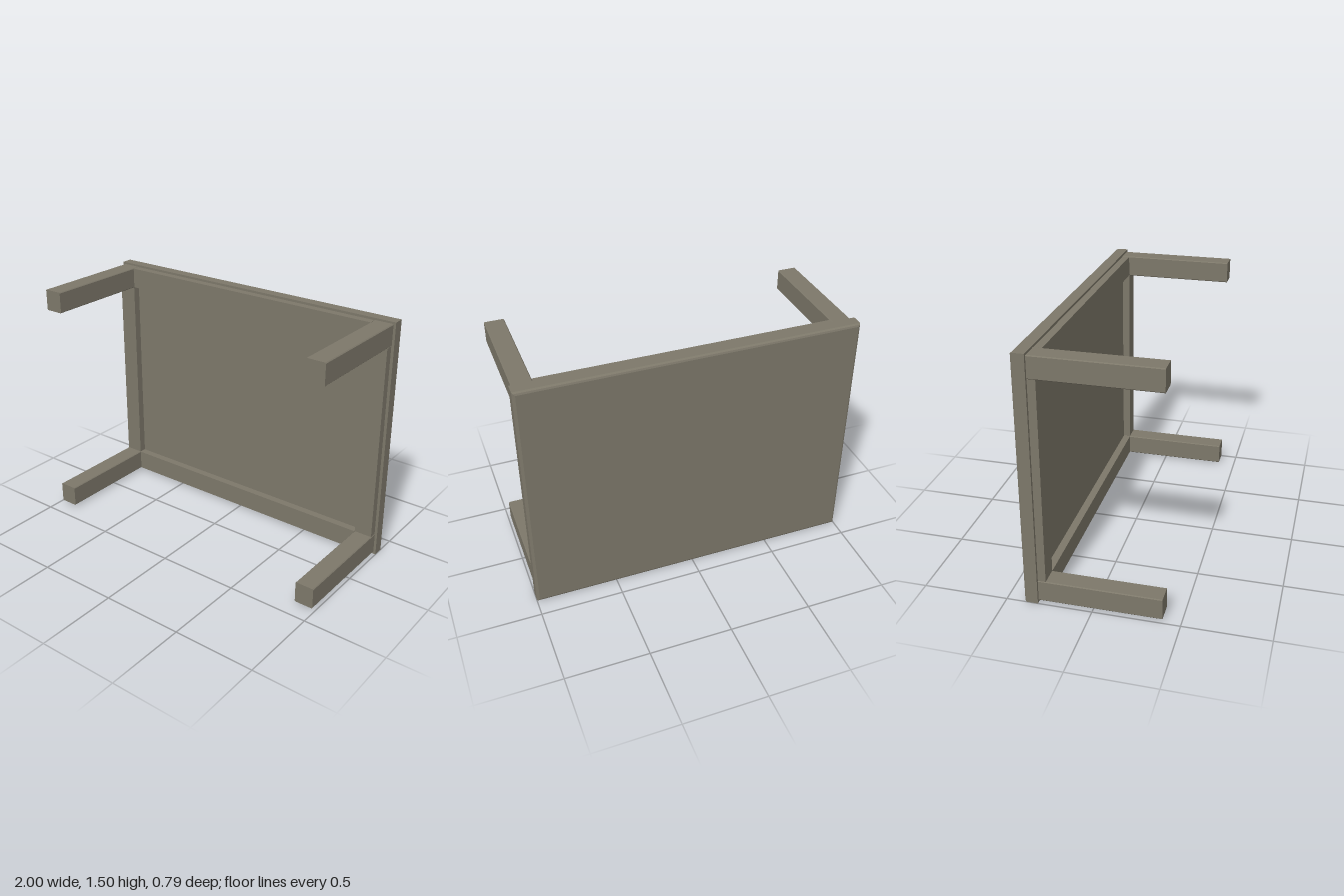
import * as THREE from 'three';

const material = new THREE.MeshStandardMaterial({ color: 0x7d786a, flatShading: true });

function add(group, name, geometry, x, y, z) {
  const mesh = new THREE.Mesh(geometry, material);
  mesh.name = name;
  mesh.position.set(x, y, z);
  group.add(mesh);
}

// Bar along z with finely chamfered long edges
function bar(w, h, length, c = 0.005) {
  const a = w / 2, b = h / 2;
  const shape = new THREE.Shape([
    [a - c, -b], [a, -b + c], [a, b - c], [a - c, b],
    [-a + c, b], [-a, b - c], [-a, -b + c], [-a + c, -b],
  ].map(([x, y]) => new THREE.Vector2(x, y)));
  return new THREE.ExtrudeGeometry(shape, { depth: length, bevelEnabled: false });
}

// Slab whose back edge is rounded: rings of [z, inset] from back to front
function tabletop(w, h) {
  const rings = [[-0.395, 0.016], [-0.391, 0.006], [-0.38, 0], [-0.315, 0]];
  const geometry = new THREE.BoxGeometry(w, h, 3, 1, 1, 3);
  const p = geometry.attributes.position;
  for (let i = 0; i < p.count; i++) {
    const [z, inset] = rings[Math.round(p.getZ(i) + 1.5)];
    p.setXYZ(i,
      Math.sign(p.getX(i)) * (w / 2 - inset),
      Math.sign(p.getY(i)) * (h / 2 - inset), z);
  }
  geometry.computeVertexNormals();
  return geometry;
}

export function createModel() {
  const group = new THREE.Group();
  group.name = 'table';
  const midY = 0.75, legX = 0.927, legY = 0.673;
  const legW = 0.116, legH = 0.13, under = -0.315, apronDepth = 0.046;

  add(group, 'tabletop', tabletop(2, 1.5), 0, midY, 0);

  for (const s of [-1, 1]) {
    // Legs, reaching from the underside of the top
    for (const t of [-1, 1]) {
      add(group, 'leg', bar(legW, legH, 0.395 - under), s * legX, midY + t * legY, under);
    }
    // Aprons, running between the legs
    add(group, 'longApron', new THREE.BoxGeometry(2 * legX - legW, legH - 0.004, apronDepth),
      0, midY + s * legY, under + apronDepth / 2);
    add(group, 'shortApron', new THREE.BoxGeometry(legW - 0.004, 2 * legY - legH, apronDepth),
      s * legX, midY, under + apronDepth / 2);
  }
  return group;
}
